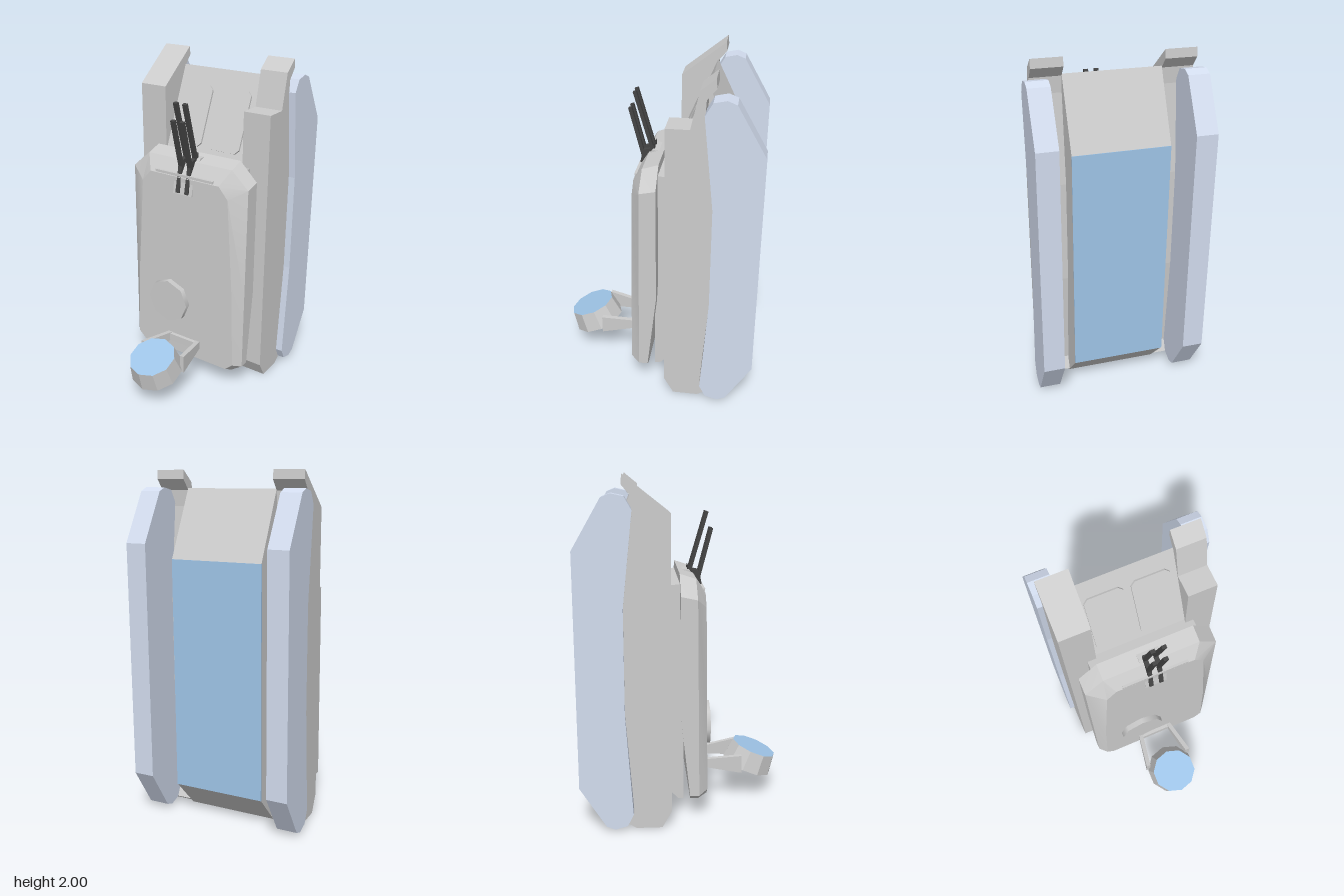
import * as THREE from 'three';
import { toCreasedNormals } from 'three/addons/utils/BufferGeometryUtils.js';

const mat = (color) => new THREE.MeshStandardMaterial({ color });
const GREY = mat(0xcccccc), TREAD = mat(0xd2dcee), BLUE = mat(0x9fc5e8), DARK = mat(0x444444);

const toShape = (pts) => new THREE.Shape(pts.map(([a, b]) => new THREE.Vector2(a, b)));

// Side profile of [z, y] points, swept from x0 to x1
function prism(profile, x0, x1) {
  const g = new THREE.ExtrudeGeometry(toShape(profile), { depth: x1 - x0, bevelEnabled: false });
  return g.rotateY(-Math.PI / 2).translate(x1, 0, 0);
}

// Closed skin over rings of [x, y, z], back to front, counter-clockwise from the front
function loft(rings) {
  const n = rings[0].length, pos = rings.flat(2), idx = [];
  rings.slice(1).forEach((_, r) => {
    for (let i = 0; i < n; i++) {
      const a = r * n + i, b = r * n + (i + 1) % n;
      idx.push(a, b, b + n, a, b + n, a + n);
    }
  });
  const caps = THREE.ShapeUtils.triangulateShape(rings[0].map((p) => new THREE.Vector2(p[0], p[1])), []);
  const front = THREE.ShapeUtils.triangulateShape(rings.at(-1).map((p) => new THREE.Vector2(p[0], p[1])), []);
  const last = (rings.length - 1) * n;
  caps.forEach(([a, b, c]) => idx.push(a, c, b));
  front.forEach(([a, b, c]) => idx.push(last + a, last + b, last + c));
  const g = new THREE.BufferGeometry();
  g.setAttribute('position', new THREE.Float32BufferAttribute(pos, 3));
  g.setIndex(idx);
  return toCreasedNormals(g, 0.35);
}

export function createModel() {
  const model = new THREE.Group();
  const add = (name, geo, material = GREY) => {
    const m = new THREE.Mesh(geo, material);
    m.name = name;
    model.add(m);
    return m;
  };
  const box = (name, x0, x1, y0, y1, z0, z1, material) => add(name,
    new THREE.BoxGeometry(x1 - x0, y1 - y0, z1 - z0)
      .translate((x0 + x1) / 2, (y0 + y1) / 2, (z0 + z1) / 2), material);

  // Treads
  const tread = [[-0.28, 1.82], [-0.32, 1.89], [-0.39, 1.905], [-0.44, 1.885], [-0.6, 1.61],
    [-0.6, 0.27], [-0.45, 0.03], [-0.4, 0.01], [-0.33, 0.03], [-0.295, 0.1], [-0.335, 0.7], [-0.335, 1.3]];
  add('rightTread', prism(tread, -0.48, -0.36), TREAD);
  add('leftTread', prism(tread, 0.36, 0.48), TREAD);

  // Central hull with sloped front plate and belly panel
  add('hull', prism([[-0.075, 0.1], [-0.13, 0], [-0.3, 0], [-0.475, 0.19], [-0.475, 1.52],
    [-0.285, 1.9], [-0.085, 1.43], [-0.075, 1.4]], -0.272, 0.27));
  box('bellyPanel', -0.272, 0.27, 0.19, 1.52, -0.478, -0.47, BLUE);

  // Fenders: the left one is stepped at the front
  const fenderLow = [[-0.335, 1.95], [-0.285, 1.89], [-0.28, 1.8], [-0.335, 1.3], [-0.335, 0.7],
    [-0.29, 0.1], [-0.325, 0.03], [-0.28, 0], [-0.13, 0], [-0.075, 0.1]];
  add('rightFender', prism([[-0.075, 1.8], [-0.33, 2], ...fenderLow], -0.45, -0.272));
  add('leftFender', prism([[-0.075, 1.73], [-0.205, 1.73], [-0.25, 1.935], [-0.33, 2], ...fenderLow], 0.27, 0.44));

  // Two hatch plates lying on the sloped front plate
  const w = 0.11, h = 0.185, c = 0.025;
  const plate = toShape([[-w, -h + c], [-w + c, -h], [w - c, -h], [w, -h + c],
    [w, h - c], [w - c, h], [-w + c, h], [-w, h - c]]);
  for (const x of [-0.143, 0.12]) {
    const hatch = add('frontHatch', new THREE.ExtrudeGeometry(plate, { depth: 0.012, bevelEnabled: false }));
    hatch.position.set(x, 1.63, -0.17);
    hatch.rotation.x = -Math.atan2(0.2, 0.47);
  }

  // Turret ring and turret shell
  add('turretRing', prism([[0, 1.41], [-0.09, 1.4], [-0.09, 0.18], [-0.03, 0.12], [0, 0.12]], -0.325, 0.32));
  const outline = [[0.4, 0.17], [0.4, 0.65], [0.4, 1.35], [0.29, 1.46], [-0.29, 1.46],
    [-0.405, 1.35], [-0.405, 0.65], [-0.405, 0.17], [-0.33, 0.12], [0.33, 0.12]];
  const back = outline.map(([x, y]) => [x, y, y > 0.6 ? -0.02 : 0.04 - (y - 0.12) * 0.11]);
  const mid = outline.map(([x, y]) => [x, y > 1.4 ? 1.43 : y > 1 ? 1.33 : y, 0.09 - 0.012 * y]);
  const face = [[0.36, 0.19], [0.345, 0.65], [0.3, 1.27], [0.24, 1.34], [-0.24, 1.34],
    [-0.3, 1.27], [-0.345, 0.65], [-0.36, 0.19], [-0.31, 0.145], [0.31, 0.145]]
    .map(([x, y]) => [x, y, 0.14 - 0.007 * y]);
  add('turret', loft([back, mid, face]));
  box('brow', -0.2, 0.2, 1.345, 1.36, 0.08, 0.132);

  // Commander hatch, an octagonal disc
  add('turretHatch', new THREE.CylinderGeometry(0.14, 0.14, 0.04, 8).toNonIndexed()
    .rotateX(Math.PI / 2).translate(-0.1, 0.515, 0.15));

  // Mantlet with two pairs of stacked barrels
  add('mantlet', prism([[-0.02, 1.45], [0.05, 1.45], [0.125, 1.35], [0.142, 1.24], [0, 1.24]], -0.068, 0.064));
  const barrel = (x, y0, z0, y1, z1) => {
    const m = add('barrel', new THREE.BoxGeometry(0.026, Math.hypot(y1 - y0, z1 - z0), 0.02), DARK);
    m.position.set(x, (y0 + y1) / 2, (z0 + z1) / 2);
    m.rotation.x = Math.atan2(z1 - z0, y1 - y0);
  };
  for (const x of [-0.033, 0.029]) {
    barrel(x, 1.34, 0.09, 1.69, 0.181);
    barrel(x, 1.38, 0.035, 1.785, 0.153);
    add('barrelMount', prism([[0.04, 1.48], [0.06, 1.45], [0.11, 1.44], [0.13, 1.34], [0.15, 1.25],
      [0.08, 1.25], [0.04, 1.4]], x - 0.013, x + 0.013), DARK);
  }

  // Lamp on a forked bracket
  const lamp = new THREE.Group();
  lamp.name = 'lamp';
  const drum = new THREE.Mesh(new THREE.CylinderGeometry(0.142, 0.16, 0.125, 10, 1, true).toNonIndexed(), GREY);
  drum.geometry.computeVertexNormals();
  drum.name = 'lampDrum';
  lamp.add(drum);
  for (const [s, r] of [[1, 0.142], [-1, 0.16]]) {
    const lens = new THREE.Mesh(new THREE.CircleGeometry(r, 10, Math.PI / 10 * 5)
      .rotateX(-s * Math.PI / 2).translate(0, s * 0.0625, 0), BLUE);
    lens.name = 'lampLens';
    lamp.add(lens);
  }
  lamp.position.set(0, 0.248, 0.448);
  lamp.rotation.x = 0.37;
  model.add(lamp);

  for (const s of [-1, 1]) {
    const arm = prism([[0.12, 0.225], [0.37, 0.195], [0.37, 0.307], [0.12, 0.27]], -0.014, 0.014);
    const p = arm.attributes.position;
    for (let i = 0; i < p.count; i++) p.setX(i, p.getX(i) + s * (0.105 + (p.getZ(i) - 0.14) * 0.18));
    arm.computeVertexNormals();
    add('bracketArm', arm);
  }
  box('bracketBar', -0.115, 0.115, 0.225, 0.27, 0.12, 0.16);

  return model;
}
